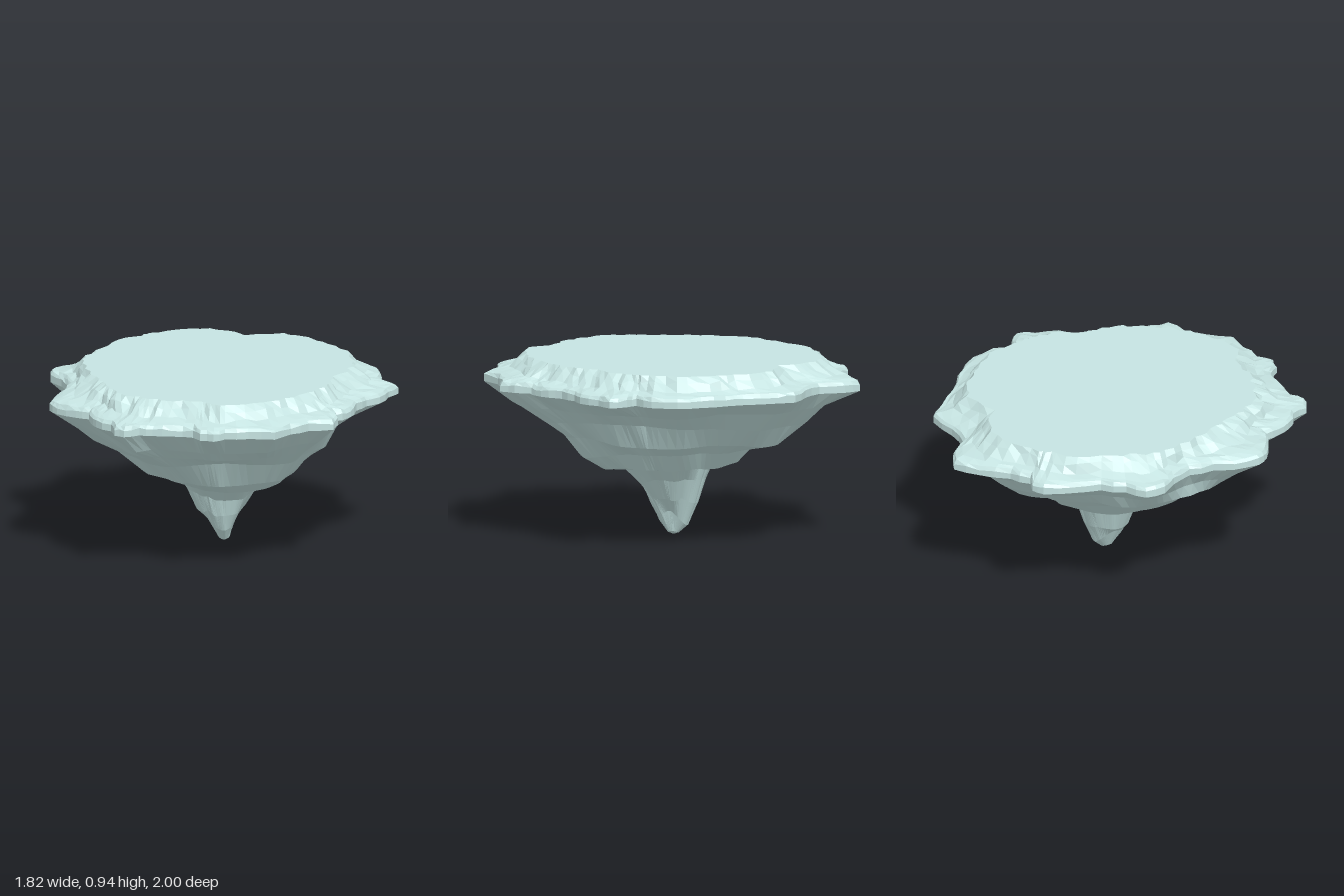
import * as THREE from 'three';

// Jagged rim outline, x,z pairs running from +x towards +z
const RIM = [
  0.91, 0, 0.86, 0.08, 0.82, 0.2, 0.75, 0.26, 0.7, 0.35, 0.69, 0.43, 0.65, 0.52, 0.6, 0.56, 0.61, 0.65,
  0.59, 0.74, 0.46, 0.77, 0.37, 0.84, 0.29, 0.95, 0.15, 0.94, 0.03, 0.95, -0.03, 1, -0.1, 0.98,
  -0.14, 0.92, -0.25, 0.9, -0.35, 0.89, -0.42, 0.88, -0.5, 0.92, -0.55, 0.89, -0.57, 0.8, -0.65, 0.72,
  -0.68, 0.64, -0.69, 0.56, -0.76, 0.53, -0.86, 0.46, -0.9, 0.39, -0.88, 0.25, -0.83, 0.15, -0.81, 0.02,
  -0.85, -0.1, -0.91, -0.19, -0.9, -0.3, -0.8, -0.36, -0.71, -0.46, -0.66, -0.6, -0.59, -0.74,
  -0.53, -0.77, -0.46, -0.74, -0.36, -0.8, -0.24, -0.92, -0.12, -1, -0.03, -0.95, 0.05, -0.84,
  0.2, -0.82, 0.37, -0.83, 0.43, -0.76, 0.55, -0.61, 0.62, -0.54, 0.72, -0.44, 0.8, -0.34, 0.82, -0.2,
  0.78, -0.1, 0.84, -0.07,
];

// Edge of the flat plateau, same order
const PLATEAU = [
  0.66, 0, 0.64, 0.1, 0.57, 0.22, 0.55, 0.35, 0.47, 0.52, 0.38, 0.62, 0.2, 0.75, 0, 0.8, -0.1, 0.73,
  -0.3, 0.7, -0.5, 0.6, -0.57, 0.5, -0.62, 0.35, -0.68, 0.2, -0.7, 0.1, -0.74, -0.05, -0.72, -0.2,
  -0.63, -0.35, -0.58, -0.5, -0.42, -0.63, -0.28, -0.72, -0.1, -0.76, 0, -0.72, 0.1, -0.63,
  0.3, -0.66, 0.42, -0.58, 0.52, -0.48, 0.62, -0.35, 0.65, -0.2,
];

// Underside profiles (radius, height) towards +x, +z, -x and -z
const PROFILES = [
  [[0.72, 0.72], [0.63, 0.66], [0.55, 0.53], [0.46, 0.48], [0.38, 0.39], [0.25, 0.37], [0.19, 0.31], [0.12, 0.2], [0.06, 0.13], [0.03, 0.02]],
  [[0.82, 0.68], [0.72, 0.62], [0.58, 0.56], [0.48, 0.41], [0.37, 0.35], [0.25, 0.34], [0.15, 0.25], [0.12, 0.16], [0.08, 0.07], [0.03, 0.01]],
  [[0.81, 0.7], [0.76, 0.62], [0.62, 0.57], [0.46, 0.43], [0.28, 0.4], [0.24, 0.36], [0.19, 0.28], [0.14, 0.17], [0.09, 0.13], [0.03, 0.02]],
  [[0.8, 0.71], [0.7, 0.61], [0.59, 0.5], [0.43, 0.47], [0.35, 0.39], [0.21, 0.41], [0.17, 0.3], [0.13, 0.17], [0.08, 0.05], [0.03, 0.01]],
];

const TAU = Math.PI * 2;
const RIM_BOTTOM = 0.795;
const lerp = THREE.MathUtils.lerp;

function toPolar(flat) {
  const list = [];
  for (let i = 0; i < flat.length; i += 2) {
    const a = (Math.atan2(flat[i + 1], flat[i]) + TAU) % TAU;
    list.push([a, Math.hypot(flat[i], flat[i + 1])]);
  }
  return list;
}

function radiusAt(polar, angle) {
  for (let i = 0; i < polar.length; i++) {
    const p = polar[i];
    const q = polar[(i + 1) % polar.length];
    const end = i === polar.length - 1 ? q[0] + TAU : q[0];
    if (angle >= p[0] && angle <= end) return lerp(p[1], q[1], (angle - p[0]) / (end - p[0]));
  }
  return polar[0][1];
}

// Repeatable noise in the range -1..1
function noise(i, j) {
  const s = Math.sin(i * 127.1 + j * 311.7 + 4.3) * 43758.5453;
  return 2 * (s - Math.floor(s)) - 1;
}

const rimPolar = toPolar(RIM);
const plateauPolar = toPolar(PLATEAU);

// One column per rim corner and one halfway to the next
const columns = rimPolar.flatMap(([a], i) => {
  const next = i === rimPolar.length - 1 ? TAU : rimPolar[i + 1][0];
  return [a, (a + next) / 2];
}).map((a, j) => ({
  a,
  rim: radiusAt(rimPolar, a) + (j % 2) * 0.01 * noise(j, 11),
  flat: radiusAt(plateauPolar, a) + 0.015 * noise(j, 12),
}));

// Noise that fades evenly over groups of columns and closes around the rock
function softNoise(j, seed, step) {
  const groups = columns.length / step;
  const g = Math.floor(j / step);
  return lerp(noise(g, seed), noise((g + 1) % groups, seed), j / step - g);
}

// Each ring is a function of (column, index) giving [radius, height], listed top to bottom
function loft(name, rings, material) {
  const n = columns.length;
  const positions = [];
  const index = [];
  rings.forEach((ring) => columns.forEach((c, j) => {
    const [r, y] = ring(c, j);
    positions.push(r * Math.cos(c.a), y, r * Math.sin(c.a));
  }));
  for (let i = 0; i < rings.length - 1; i++) {
    for (let j = 0; j < n; j++) {
      const a = i * n + j;
      const b = i * n + (j + 1) % n;
      index.push(a, b, a + n, b, b + n, a + n);
    }
  }
  const geometry = new THREE.BufferGeometry();
  geometry.setAttribute('position', new THREE.Float32BufferAttribute(positions, 3));
  geometry.setIndex(index);
  geometry.computeVertexNormals();
  const mesh = new THREE.Mesh(geometry, material);
  mesh.name = name;
  return mesh;
}

// Blend of the two profiles on either side of an angle
function profileAt(angle, level) {
  const q = angle / (TAU / 4);
  const k = Math.floor(q) % 4;
  const t = THREE.MathUtils.smoothstep(q - Math.floor(q), 0, 1);
  const p0 = PROFILES[k][level];
  const p1 = PROFILES[(k + 1) % 4][level];
  return [lerp(p0[0], p1[0], t), lerp(p0[1], p1[1], t)];
}

function undersideRing(level) {
  return (c, j) => {
    const diagonal = Math.sin(2 * c.a) ** 2;
    let [r, y] = profileAt(c.a, level);
    r *= lerp(1, c.rim / 0.92, Math.max(0, 0.5 - level * 0.15));
    // Between the main directions the upper ledges melt into an even slope
    if (level < 3) {
      const [r3, y3] = profileAt(c.a, 3);
      const t = (level + 1) / 4;
      r = lerp(r, lerp(c.rim, r3, t), 0.55 * diagonal);
      y = lerp(y, lerp(RIM_BOTTOM, y3, t), 0.55 * diagonal);
    }
    // Broad lobes, small chips and wandering ledges
    const lobes = 0.035 * softNoise(j, 30 + Math.floor(level / 3), 6);
    const chips = 0.025 * softNoise(j, 40 + level, 3);
    if (level < 8) y += 0.02 * diagonal * softNoise(j, 50 + level, 6);
    return [Math.min(r * (0.98 + lobes + chips), c.rim * 0.95), y];
  };
}

export function createModel() {
  const group = new THREE.Group();
  group.name = 'floatingRock';
  const rock = new THREE.MeshStandardMaterial({ color: 0xc6e4e2, flatShading: true });

  const plateauEdge = (c) => [c.flat, 0.94];
  const rimBottom = (c) => [c.rim, RIM_BOTTOM];

  // Flat top
  group.add(loft('plateau', [() => [0, 0.94], plateauEdge], rock));

  // Steep broken step, then a shallow ledge out to the thin upright rim
  group.add(loft('rim', [
    plateauEdge,
    (c, j) => [lerp(c.flat, c.rim, 0.2 + 0.08 * softNoise(j, 1, 2)), 0.908 + 0.012 * noise(j, 2)],
    (c, j) => [lerp(c.flat, c.rim, 0.45 + 0.1 * softNoise(j, 3, 2)), 0.87 + 0.008 * noise(j, 4)],
    (c, j) => [lerp(c.flat, c.rim, 0.75), 0.857 + 0.005 * softNoise(j, 7, 2)],
    (c, j) => [c.rim * 0.985, 0.848 + 0.006 * noise(j, 5)],
    (c, j) => [c.rim, 0.83 + 0.006 * noise(j, 6)],
    rimBottom,
  ], rock));

  // Stepped underside narrowing to a hanging tip
  const levels = PROFILES[0].map((_, level) => undersideRing(level));
  group.add(loft('underside', [rimBottom, ...levels, () => [0, 0]], rock));

  return group;
}
